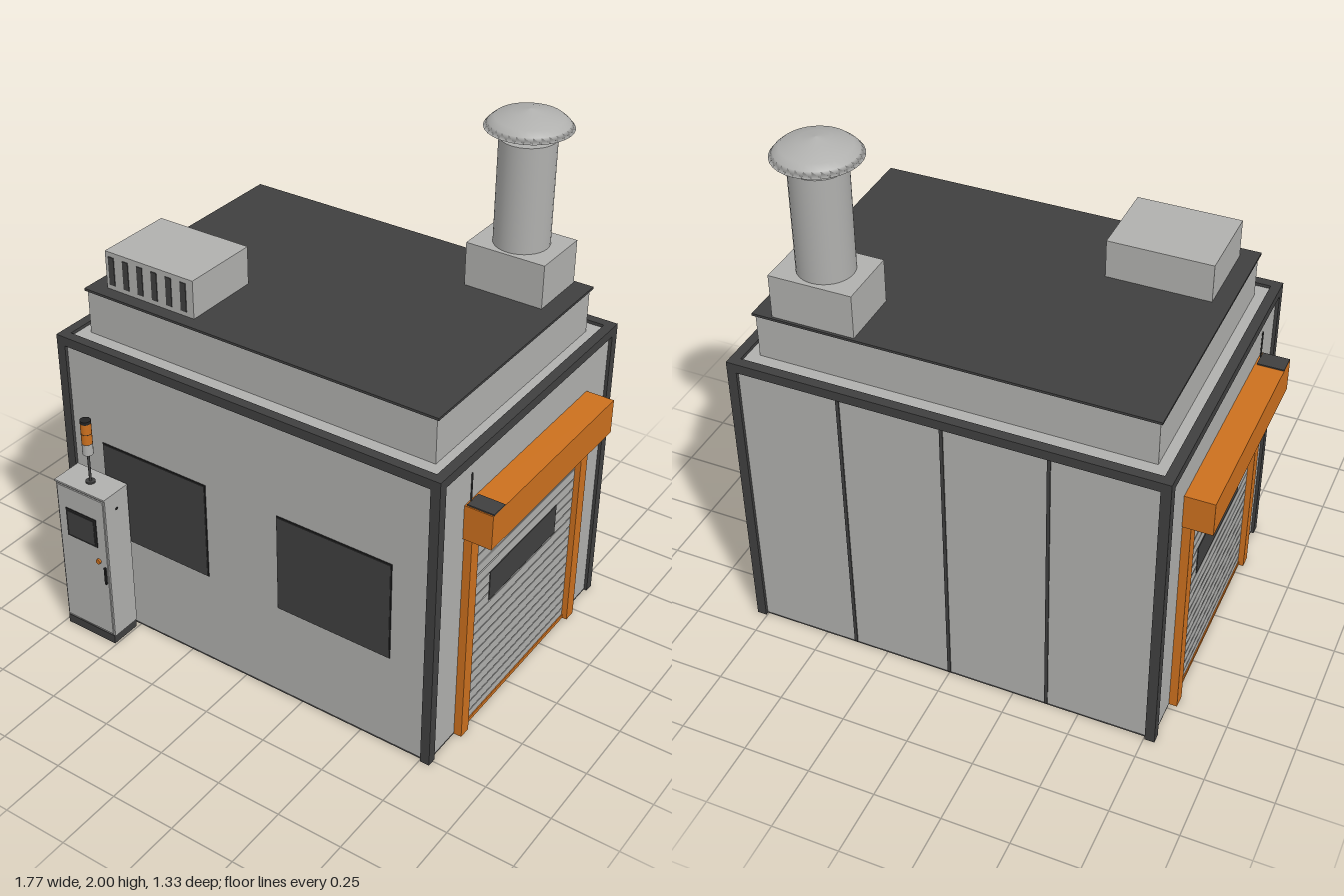
import * as THREE from 'three';

const mat = (name, color, extra = {}) => {
  const m = new THREE.MeshStandardMaterial({ color, ...extra });
  m.name = name;
  return m;
};

export function createModel() {
  const light = mat('light grey panel', 0xb0b0ae);
  const dark = mat('dark grey trim', 0x404040);
  const black = mat('black detail', 0x242424);
  const orange = mat('safety orange', 0xcc701e);

  const model = new THREE.Group();
  model.name = 'processBooth';

  const group = (name, parent = model) => {
    const g = new THREE.Group();
    g.name = name;
    parent.add(g);
    return g;
  };
  const add = (parent, name, geometry, material, x = 0, y = 0, z = 0) => {
    const m = new THREE.Mesh(geometry, material);
    m.name = name;
    m.position.set(x, y, z);
    parent.add(m);
    return m;
  };
  // Box given by its limits on each axis
  const box = (parent, name, material, x0, x1, y0, y1, z0, z1) =>
    add(parent, name, new THREE.BoxGeometry(x1 - x0, y1 - y0, z1 - z0), material,
      (x0 + x1) / 2, (y0 + y1) / 2, (z0 + z1) / 2);
  // Upright cylinder given by its bottom and top
  const rod = (parent, name, material, r, x, y0, y1, z, sides = 16) =>
    add(parent, name, new THREE.CylinderGeometry(r, r, y1 - y0, sides), material, x, (y0 + y1) / 2, z);

  // Walls and floor
  const X = 0.79, F = 0.525, B = -0.665, T = 0.036;
  const shell = group('shell');
  box(shell, 'walls', light, -X + 0.012, X - 0.012, 0.008, 1.168, B + 0.012, F - 0.012);
  box(shell, 'floorPlate', dark, -X + 0.012, X - 0.012, 0, 0.008, B + 0.012, F - 0.012);

  // Corner posts and top rails
  for (const x of [-X, X - T]) {
    for (const z of [B, F - T]) box(shell, 'cornerPost', dark, x, x + T, 0, 1.18, z, z + T);
    box(shell, 'sideRail', dark, x, x + T, 1.144, 1.18, B + T, F - T);
  }
  for (const z of [B, F - T]) box(shell, 'topRail', dark, -X + T, X - T, 1.144, 1.18, z, z + T);

  // Seams between the rear wall panels
  for (const x of [-0.378, 0, 0.378])
    box(shell, 'rearSeam', dark, x - 0.006, x + 0.006, 0.008, 1.144, B + 0.008, B + 0.014);

  // Front windows
  for (const [x0, x1] of [[-0.62, -0.155], [0.15, 0.615]]) {
    box(shell, 'windowFrame', black, x0, x1, 0.385, 0.782, F - 0.014, F - 0.009);
    box(shell, 'windowPane', dark, x0 + 0.004, x1 - 0.004, 0.39, 0.777, F - 0.012, F - 0.007);
  }

  // Raised roof
  const roof = group('roof');
  box(roof, 'roofCurb', light, -0.713, 0.713, 1.168, 1.336, -0.573, 0.43);
  box(roof, 'roofSheet', dark, -0.722, 0.722, 1.336, 1.345, -0.582, 0.437);

  // Rooftop ventilation unit with front slots
  const vent = group('ventilationUnit');
  box(vent, 'ventHousing', light, -0.658, -0.275, 1.345, 1.49, 0.085, 0.388);
  for (let i = 0; i < 6; i++) {
    const x = -0.632 + i * 0.063;
    box(vent, 'ventSlot', dark, x - 0.012, x + 0.012, 1.363, 1.472, 0.386, 0.391);
  }

  // Exhaust stack with rain cap on rods
  const stack = group('exhaustStack');
  const sx = 0.497, sz = -0.455;
  box(stack, 'stackBase', light, 0.345, 0.65, 1.345, 1.51, -0.572, -0.34);
  rod(stack, 'stackPipe', light, 0.1, sx, 1.51, 1.9, sz, 32);
  for (let i = 0; i < 4; i++) {
    const a = (i * Math.PI) / 2;
    rod(stack, 'capRod', dark, 0.005, sx + 0.068 * Math.cos(a), 1.9, 1.95, sz + 0.068 * Math.sin(a), 8);
  }
  const capProfile = [[0, 1.938], [0.153, 1.936], [0.138, 1.954], [0.118, 1.971], [0.06, 1.988], [0, 2]]
    .map(([r, y]) => new THREE.Vector2(r, y));
  add(stack, 'rainCap', new THREE.LatheGeometry(capProfile, 32), light, sx, 0, sz);

  // Roller doors, one on each side
  for (const s of [1, -1]) {
    const door = group(s > 0 ? 'leftRollerDoor' : 'rightRollerDoor');
    const part = (name, m, x0, x1, ...rest) =>
      box(door, name, m, Math.min(s * x0, s * x1), Math.max(s * x0, s * x1), ...rest);
    part('doorBacking', dark, 0.77, 0.781, 0.01, 0.855, -0.43, 0.295);
    part('bottomBar', orange, 0.77, 0.79, 0, 0.016, -0.43, 0.295);
    part('bottomSlat', light, 0.77, 0.786, 0.016, 0.044, -0.43, 0.295);
    const pitch = 0.0427;
    for (let i = 0; i < 19; i++) {
      const y = 0.049 + i * pitch;
      part('slat', light, 0.77, 0.786, y, Math.min(y + pitch - 0.005, 0.855), -0.43, 0.295);
    }
    part('doorWindow', dark, 0.782, 0.789, 0.485, 0.605, -0.3, 0.165);
    part('guideRail', orange, 0.77, 0.808, 0, 0.855, 0.295, 0.342);
    part('guideRail', orange, 0.77, 0.808, 0, 0.855, -0.48, -0.43);
    part('rollerHousing', orange, 0.77, 0.885, 0.855, 0.988, -0.485, 0.35);
    part('motorCover', dark, 0.785, 0.885, 0.988, 0.993, 0.275, 0.345);
    rod(door, 'motorCable', dark, 0.003, s * 0.785, 0.99, 1.1, 0.32, 8);
  }

  // Control cabinet
  const cab = group('controlCabinet');
  box(cab, 'plinth', dark, -0.733, -0.507, 0, 0.036, 0.532, 0.655);
  box(cab, 'cabinetBody', light, -0.735, -0.505, 0.036, 0.65, 0.53, 0.652);
  box(cab, 'cabinetTop', light, -0.738, -0.503, 0.65, 0.657, 0.53, 0.657);
  box(cab, 'cabinetDoor', light, -0.728, -0.512, 0.045, 0.643, 0.652, 0.657);
  box(cab, 'screenFrame', black, -0.692, -0.55, 0.43, 0.553, 0.655, 0.66);
  box(cab, 'screen', dark, -0.682, -0.56, 0.44, 0.543, 0.657, 0.662);
  box(cab, 'doorHandle', black, -0.525, -0.517, 0.278, 0.352, 0.655, 0.664);
  const button = rod(cab, 'button', orange, 0.01, -0.55, 0.365, 0.375, 0.66);
  button.rotation.x = Math.PI / 2;
  const knob = rod(cab, 'sideKnob', black, 0.01, -0.754, 0.565, 0.607, 0.592);
  knob.rotation.z = Math.PI / 2;
  box(cab, 'sideLatch', black, -0.506, -0.502, 0.582, 0.59, 0.588, 0.598);

  // Signal lamp on a pole
  const lamp = group('signalLamp', cab);
  const lx = -0.62, lz = 0.594;
  rod(lamp, 'lampFoot', dark, 0.018, lx, 0.657, 0.663, lz);
  rod(lamp, 'lampPole', dark, 0.005, lx, 0.66, 0.78, lz, 10);
  rod(lamp, 'lampBase', light, 0.02, lx, 0.78, 0.825, lz);
  for (const y of [0.827, 0.87]) {
    rod(lamp, 'lampLens', orange, 0.02, lx, y, y + 0.04, lz);
    rod(lamp, 'lampRing', black, 0.0195, lx, y - 0.003, y + 0.001, lz);
  }
  rod(lamp, 'lampCap', black, 0.02, lx, 0.91, 0.922, lz);

  return model;
}
